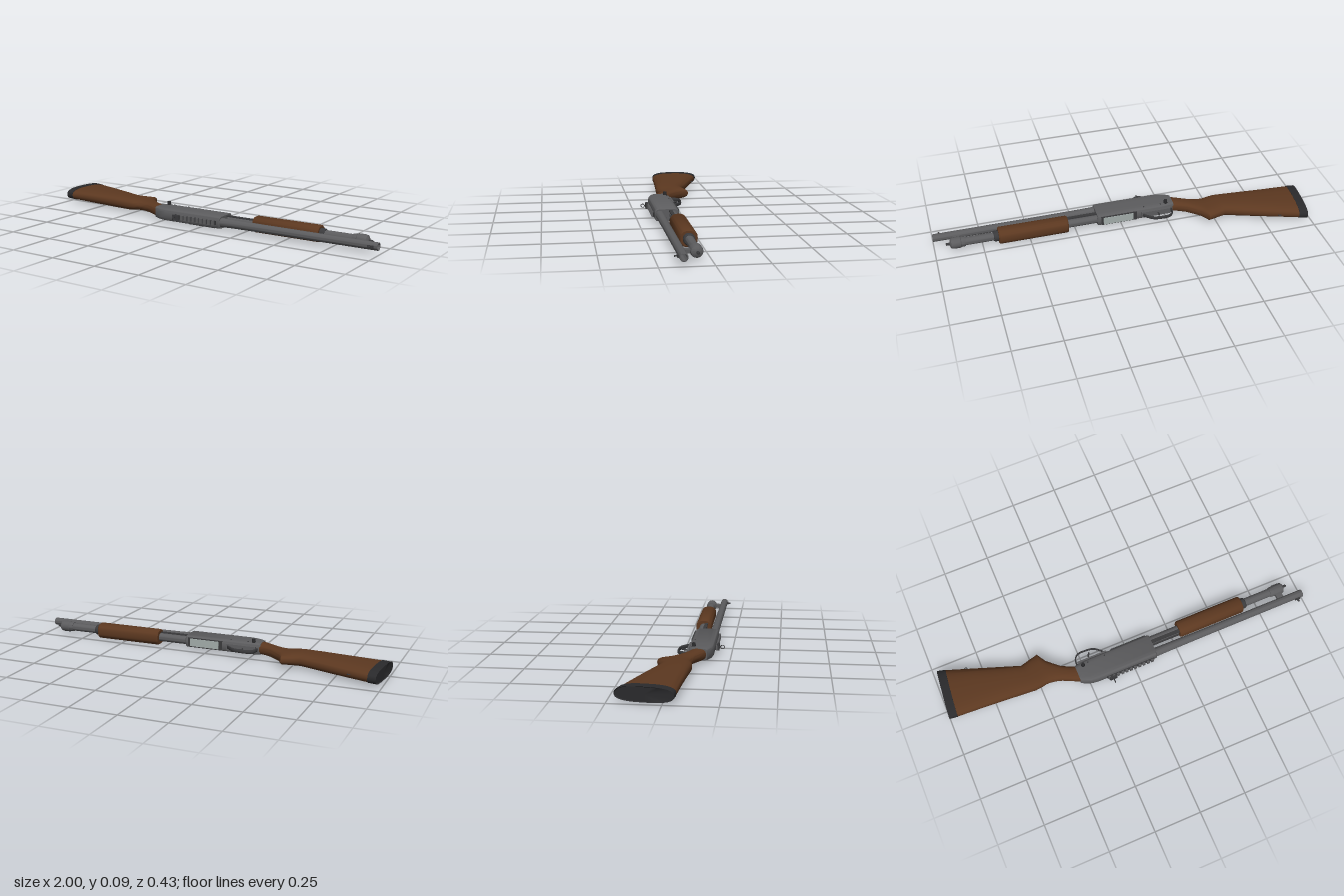
import * as THREE from 'three';
import { toCreasedNormals } from 'three/addons/utils/BufferGeometryUtils.js';

const CY = 0.045; // height of the long axis
const mat = (name, color) => {
  const m = new THREE.MeshStandardMaterial({ color });
  m.name = name;
  return m;
};

// Lofts rounded sections along x. Station: [x at low z, low z, x at high z, high z, half thickness]
function loft(stations, power, sides = 32, crease = 0.6) {
  const pos = [], idx = [];
  const sp = (v) => Math.sign(v) * Math.pow(Math.abs(v), 2 / power);
  for (const [xl, zl, xh, zh, h] of stations) {
    for (let i = 0; i < sides; i++) {
      const a = (i / sides) * Math.PI * 2;
      const t = (sp(Math.sin(a)) + 1) / 2;
      pos.push(xl + (xh - xl) * t, CY + h * sp(Math.cos(a)), zl + (zh - zl) * t);
    }
  }
  const n = stations.length;
  for (let s = 0; s < n - 1; s++) {
    for (let i = 0; i < sides; i++) {
      const j = (i + 1) % sides, a = s * sides + i, b = s * sides + j;
      idx.push(a, b, a + sides, b, b + sides, a + sides);
    }
  }
  for (const [s, end] of [[0, false], [n - 1, true]]) {
    const [xl, zl, xh, zh] = stations[s];
    const c = pos.length / 3;
    pos.push((xl + xh) / 2, CY, (zl + zh) / 2);
    for (let i = 0; i < sides; i++) {
      const a = s * sides + i, b = s * sides + ((i + 1) % sides);
      if (end) idx.push(c, a, b);
      else idx.push(c, b, a);
    }
  }
  const g = new THREE.BufferGeometry();
  g.setAttribute('position', new THREE.Float32BufferAttribute(pos, 3));
  g.setIndex(idx);
  return toCreasedNormals(g, crease);
}

// Turned part along x from [x, radius] pairs
function turned(pts, z, y = CY, sides = 28) {
  const g = new THREE.LatheGeometry(pts.map(([x, r]) => new THREE.Vector2(r, x)), sides);
  g.rotateZ(-Math.PI / 2);
  g.translate(0, y, z);
  return toCreasedNormals(g, 0.6);
}

function box(x0, x1, y0, y1, z0, z1) {
  return new THREE.BoxGeometry(x1 - x0, y1 - y0, z1 - z0)
    .translate((x0 + x1) / 2, (y0 + y1) / 2, (z0 + z1) / 2);
}

// Strap bent in the x-z plane, widened in y
function strap(pts, r, wide) {
  const curve = new THREE.CatmullRomCurve3(pts.map(([x, z]) => new THREE.Vector3(x, 0, z)));
  return new THREE.TubeGeometry(curve, 32, r, 8).scale(1, wide, 1).translate(0, CY, 0);
}

export function createModel() {
  const root = new THREE.Group();
  const wood = mat('walnut wood', 0x5c3820);
  const metal = mat('gunmetal', 0x5c5c5e);
  const black = mat('black rubber', 0x2a2a2c);
  const dark = mat('dark steel', 0x3a3a3c);
  const bright = mat('bright steel', 0xa3adab);
  const add = (name, geo, m) => {
    const mesh = new THREE.Mesh(geo, m);
    mesh.name = name;
    root.add(mesh);
  };

  // Stock with a half pistol grip
  add('stock', loft([
    [-0.93, -0.203, -0.957, 0.058, 0.036],
    [-0.8, -0.156, -0.8, 0.066, 0.038],
    [-0.65, -0.102, -0.65, 0.076, 0.038],
    [-0.555, -0.068, -0.53, 0.085, 0.036],
    [-0.505, -0.082, -0.49, 0.081, 0.033],
    [-0.456, -0.094, -0.465, 0.076, 0.031],
    [-0.444, -0.072, -0.44, 0.077, 0.03],
    [-0.428, -0.045, -0.415, 0.081, 0.029],
    [-0.4, -0.018, -0.385, 0.09, 0.029],
    [-0.365, 0.013, -0.355, 0.104, 0.029],
    [-0.32, 0.038, -0.32, 0.121, 0.03],
    [-0.285, 0.05, -0.285, 0.137, 0.031],
  ], 2.6, 32, 0.75), wood);
  add('buttPad', loft([
    [-0.968, -0.21, -0.999, 0.048, 0.033],
    [-0.974, -0.216, -1.0, 0.054, 0.036],
    [-0.93, -0.204, -0.956, 0.059, 0.0375],
  ], 2.8), black);
  add('rearSlingStud', new THREE.TorusGeometry(0.007, 0.0025, 8, 16)
    .rotateX(Math.PI / 2).translate(-0.83, CY, -0.168), dark);

  // Receiver
  add('receiver', loft([
    [-0.297, 0.05, -0.297, 0.138, 0.031],
    [-0.28, 0.046, -0.28, 0.147, 0.033],
    [-0.245, 0.042, -0.245, 0.161, 0.034],
    [-0.21, 0.04, -0.21, 0.166, 0.034],
    [0.125, 0.04, 0.125, 0.166, 0.034],
    [0.13, 0.044, 0.13, 0.162, 0.031],
  ], 5, 40), metal);
  add('loadingPort', box(-0.085, 0.112, CY - 0.025, CY + 0.025, 0.037, 0.045), dark);
  add('shellLifter', box(-0.065, 0.1, CY - 0.021, CY + 0.021, 0.034, 0.042), bright);
  add('ejectionPort', box(-0.07, 0.09, CY - 0.0355, CY - 0.031, 0.105, 0.145), dark);
  for (const x of [-0.225, -0.13]) {
    add('receiverPin', new THREE.CylinderGeometry(0.004, 0.004, 0.07, 12).translate(x, CY, 0.06), dark);
  }

  // Trigger group
  add('triggerPlate', box(-0.275, -0.11, CY - 0.016, CY + 0.016, 0.031, 0.05), metal);
  add('triggerGuard', strap([[-0.282, 0.045], [-0.276, 0.008], [-0.255, -0.012], [-0.21, -0.015],
    [-0.17, -0.009], [-0.14, 0.012], [-0.115, 0.038]], 0.0038, 2.7), dark);
  add('trigger', strap([[-0.2, 0.04], [-0.207, 0.02], [-0.196, 0.002]], 0.004, 1.2), dark);
  add('safetyButton', new THREE.CylinderGeometry(0.009, 0.011, 0.022, 16)
    .translate(-0.255, CY + 0.04, 0.066), black);

  // Top rail with cross slots
  add('railBase', box(-0.16, 0.11, CY - 0.011, CY + 0.011, 0.16, 0.172), dark);
  for (let i = 0; i < 11; i++) {
    const x = -0.155 + i * 0.0245;
    add('railTooth', box(x, x + 0.014, CY - 0.013, CY + 0.013, 0.171, 0.18), metal);
  }

  // Ring sight at the rear, post at the muzzle
  add('rearSightBase', box(-0.15, -0.11, CY - 0.014, CY + 0.014, 0.176, 0.188), dark);
  add('rearSightKnob', new THREE.CylinderGeometry(0.005, 0.005, 0.036, 12).translate(-0.13, CY, 0.183), dark);
  add('rearSightStem', box(-0.133, -0.127, CY - 0.003, CY + 0.003, 0.186, 0.196), dark);
  add('rearSightRing', new THREE.TorusGeometry(0.0095, 0.002, 8, 24)
    .rotateY(Math.PI / 2).translate(-0.13, CY, 0.204), dark);
  add('frontSightBase', box(0.95, 0.98, CY - 0.006, CY + 0.006, 0.155, 0.165), dark);
  add('frontSightPost', box(0.96, 0.97, CY - 0.003, CY + 0.003, 0.163, 0.178), dark);

  // Barrel with an open bore
  add('barrel', turned([[0.12, 0], [0.12, 0.024], [0.2, 0.0225], [0.4, 0.021], [0.999, 0.02],
    [1.0, 0.019], [1.0, 0.0155], [0.9, 0.0155], [0.9, 0]], 0.139), metal);

  // Magazine tube, cap and clamp
  add('magazineTube', turned([[0.12, 0], [0.12, 0.022], [0.85, 0.022], [0.85, 0]], 0.068), metal);
  add('magazineCap', turned([[0.838, 0], [0.838, 0.025], [0.845, 0.027], [0.86, 0.027], [0.864, 0.03],
    [0.9, 0.03], [0.912, 0.027], [0.918, 0.018], [0.922, 0]], 0.068), metal);
  add('capStud', turned([[0.915, 0], [0.915, 0.007], [0.936, 0.007], [0.94, 0.004], [0.94, 0]], 0.066, CY, 14), dark);
  add('barrelClamp', box(0.862, 0.898, CY - 0.009, CY + 0.009, 0.085, 0.125), metal);
  add('slideCollar', turned([[0.66, 0], [0.66, 0.029], [0.685, 0.029], [0.69, 0.025], [0.69, 0]], 0.068), dark);

  // Sliding fore-end and its action bars
  add('foreEnd', loft([
    [0.292, 0.03, 0.292, 0.107, 0.038],
    [0.299, 0.025, 0.299, 0.111, 0.042],
    [0.658, 0.025, 0.658, 0.111, 0.042],
    [0.665, 0.03, 0.665, 0.107, 0.038],
  ], 2.5), wood);
  for (const s of [-1, 1]) {
    const y = CY + s * 0.023;
    add('actionBar', box(0.1, 0.31, y - 0.003, y + 0.003, 0.075, 0.093), dark);
  }
  return root;
}
